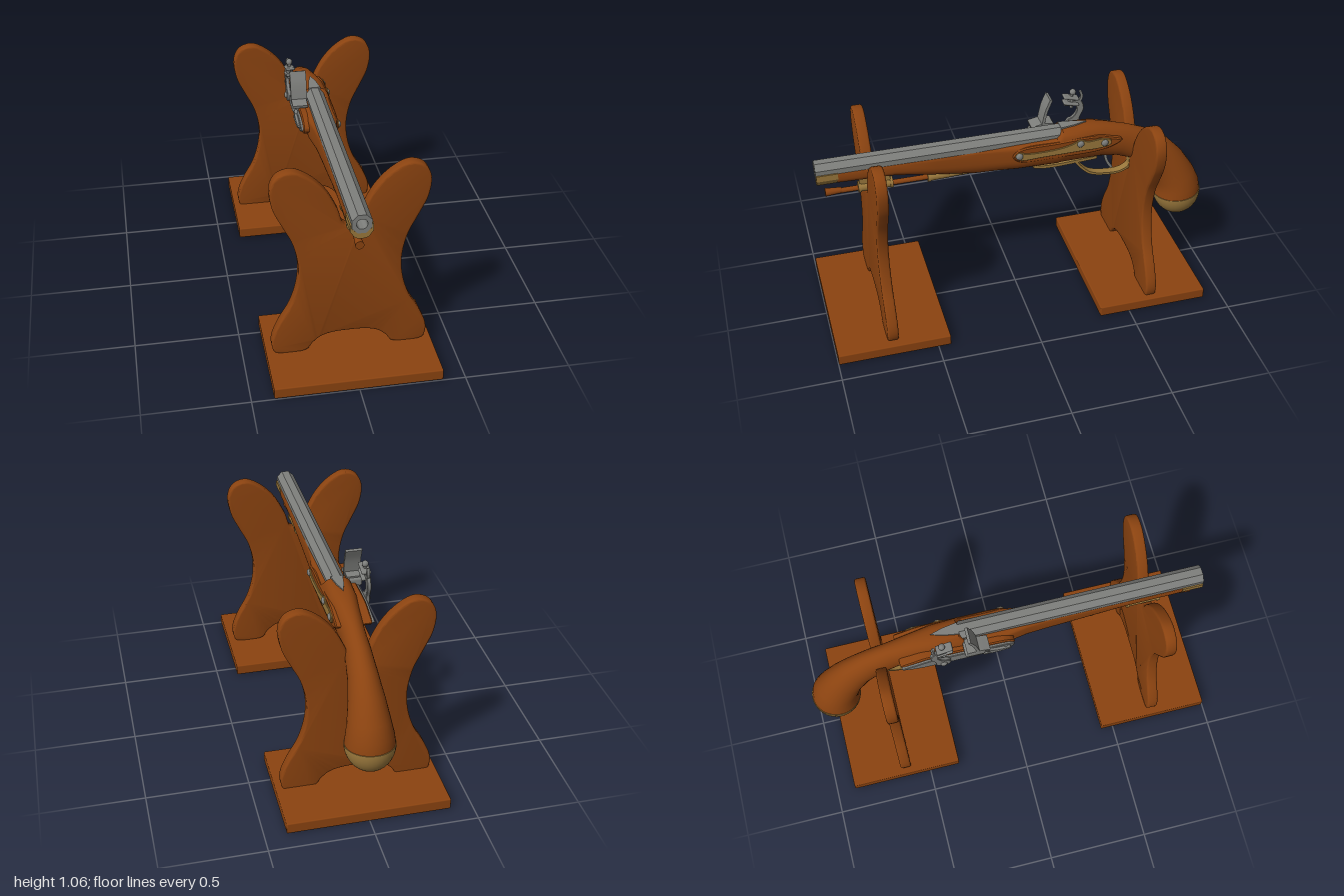
import * as THREE from 'three';
import { toCreasedNormals } from 'three/addons/utils/BufferGeometryUtils.js';
import { RoundedBoxGeometry } from 'three/addons/geometries/RoundedBoxGeometry.js';

function material(name, color) {
  const m = new THREE.MeshStandardMaterial({ color });
  m.name = name;
  return m;
}
const V = (x, y, z) => new THREE.Vector3(x, y, z);

export function createModel() {
  const model = new THREE.Group();
  model.name = 'pistolOnStand';
  const wood = material('wood', 0x8b4310);
  const brass = material('brass', 0x9a783c);
  const steel = material('steel', 0x7e7f7c);

  function add(name, geometry, mat, x = 0, y = 0, z = 0, parent = model) {
    const mesh = new THREE.Mesh(geometry, mat);
    mesh.name = name;
    mesh.position.set(x, y, z);
    parent.add(mesh);
    return mesh;
  }

  // Closed smooth outline through 2D points
  function smoothShape(points, divisions = 60) {
    const curve = new THREE.CatmullRomCurve3(points.map(([a, b]) => V(a, b, 0)), true, 'centripetal');
    return new THREE.Shape(curve.getPoints(divisions).slice(0, -1).map(p => new THREE.Vector2(p.x, p.y)));
  }

  // Side profile in (z, y), extruded between x0 and x1
  function sideSlab(shape, x0, x1, bevel = 0.003) {
    const g = new THREE.ExtrudeGeometry(shape, {
      depth: x1 - x0 - 2 * bevel, bevelEnabled: bevel > 0, bevelSize: bevel,
      bevelThickness: bevel, bevelOffset: -bevel, bevelSegments: 1, curveSegments: 12
    });
    g.rotateY(-Math.PI / 2);
    g.translate(x1 - bevel, 0, 0);
    return toCreasedNormals(g, 0.6);
  }

  const rod = (r0, r1, length, sides = 20) =>
    new THREE.CylinderGeometry(r0, r1, length, sides).rotateX(Math.PI / 2);

  function strap(name, points, width, thick, mat, x = 0) {
    // Flat bar following a (z, y) path
    const curve = new THREE.CatmullRomCurve3(points.map(([z, y]) => V(0, y, z)));
    const pts = curve.getPoints(36), outer = [], inner = [];
    pts.forEach((p, i) => {
      const t = curve.getTangent(i / 36);
      outer.push(new THREE.Vector2(p.z + t.y * thick / 2, p.y - t.z * thick / 2));
      inner.unshift(new THREE.Vector2(p.z - t.y * thick / 2, p.y + t.z * thick / 2));
    });
    return add(name, sideSlab(new THREE.Shape([...outer, ...inner]), x - width / 2, x + width / 2, 0), mat);
  }

  // Stand: two feet with notched uprights
  const half = [[0.034, 0.745], [0.06, 0.82], [0.115, 0.92], [0.19, 0.995], [0.265, 1.03], [0.33, 1.01],
    [0.362, 0.95], [0.352, 0.85], [0.31, 0.755], [0.265, 0.66], [0.24, 0.54], [0.247, 0.43], [0.28, 0.32],
    [0.335, 0.22], [0.366, 0.14], [0.367, 0.09], [0.35, 0.058], [0.205, 0.058], [0.175, 0.095],
    [0.135, 0.128], [0.08, 0.144]];
  const outline = [[0, 0.73], ...half, [0, 0.148], ...half.map(([x, y]) => [-x, y]).reverse()];
  const boardGeometry = toCreasedNormals(new THREE.ExtrudeGeometry(smoothShape(outline, 200), {
    depth: 0.035, bevelSize: 0.01, bevelThickness: 0.01, bevelOffset: -0.01, bevelSegments: 3
  }).translate(0, 0, -0.0175), 0.6);
  for (const [label, baseZ, boardZ, drop] of [['front', 0.717, 0.718, 0], ['rear', -0.625, -0.622, -0.014]]) {
    add(label + 'StandBase', new RoundedBoxGeometry(0.79, 0.056, 0.562, 2, 0.006), wood, 0, 0.028, baseZ);
    add(label + 'StandUpright', boardGeometry, wood, 0, drop, boardZ);
  }

  // Stock: sections as [topZ, topY, bottomZ, bottomY, halfWidth, topSquareness]
  const sections = [
    [0.88, 0.885, 0.88, 0.815, 0.049, 8], [0.6, 0.885, 0.6, 0.805, 0.049, 8],
    [0.4, 0.885, 0.4, 0.768, 0.049, 8], [0.2, 0.885, 0.2, 0.738, 0.05, 8],
    [0.1, 0.885, 0.1, 0.735, 0.056, 8], [0, 0.888, 0, 0.733, 0.073, 7],
    [-0.2, 0.892, -0.2, 0.73, 0.077, 6], [-0.23, 0.932, -0.23, 0.73, 0.077, 3],
    [-0.35, 0.932, -0.35, 0.73, 0.074, 2.6], [-0.45, 0.916, -0.43, 0.728, 0.064, 2.3],
    [-0.58, 0.88, -0.52, 0.715, 0.058, 2], [-0.7, 0.83, -0.6, 0.685, 0.062, 2],
    [-0.8, 0.76, -0.67, 0.635, 0.071, 2], [-0.88, 0.675, -0.72, 0.57, 0.085, 2],
    [-0.95, 0.57, -0.75, 0.5, 0.101, 2], [-0.983, 0.5, -0.756, 0.458, 0.112, 2],
    [-0.992, 0.445, -0.752, 0.425, 0.117, 2]];
  const around = 32, pos = [], idx = [];
  for (const [tz, ty, bz, by, w, n] of sections) {
    for (let j = 0; j < around; j++) {
      const a = j / around * Math.PI * 2, c = Math.cos(a), s = Math.sin(a);
      const e = 2 / (s > 0 ? n : 2);
      const u = 0.5 + 0.5 * Math.sign(s) * Math.abs(s) ** e;
      pos.push(w * Math.sign(c) * Math.abs(c) ** e, by + (ty - by) * u, bz + (tz - bz) * u);
    }
  }
  for (let i = 0; i < sections.length - 1; i++) {
    for (let j = 0; j < around; j++) {
      const a = i * around + j, b = i * around + (j + 1) % around;
      idx.push(a, a + around, b, b, a + around, b + around);
    }
  }
  const last = (sections.length - 1) * around;
  for (let j = 1; j < around - 1; j++) idx.push(0, j, j + 1, last, last + j + 1, last + j);
  const stock = new THREE.BufferGeometry();
  stock.setAttribute('position', new THREE.Float32BufferAttribute(pos, 3));
  stock.setIndex(idx);
  add('stock', toCreasedNormals(stock, 0.7), wood);

  // Brass butt cap
  const cap = add('buttCap', new THREE.SphereGeometry(1, 32, 14, 0, Math.PI * 2, Math.PI / 2, Math.PI / 2),
    brass, 0, 0.436, -0.873);
  cap.scale.set(0.12, 0.137, 0.123);
  cap.rotation.x = 0.085;
  const capRim = add('buttCapRim', new THREE.CircleGeometry(1, 32).rotateX(-Math.PI / 2), brass, 0, 0.436, -0.873);
  capRim.scale.copy(cap.scale);
  capRim.rotation.copy(cap.rotation);

  // Octagonal barrel with a bore
  const octagon = new THREE.Shape();
  for (let i = 0; i < 8; i++) {
    const a = (i + 0.5) * Math.PI / 4, r = 0.0487;
    octagon[i ? 'lineTo' : 'moveTo'](r * Math.cos(a), r * Math.sin(a));
  }
  octagon.holes.push(new THREE.Path().absarc(0, 0, 0.025, 0, Math.PI * 2, true));
  add('barrel', toCreasedNormals(new THREE.ExtrudeGeometry(octagon, { depth: 1.21, bevelEnabled: false }), 0.6),
    steel, 0, 0.89, -0.23);
  add('boreEnd', new THREE.CircleGeometry(0.026, 20), steel, 0, 0.89, 0.82);
  const tang = new THREE.Shape([[-0.03, 0.225], [0.03, 0.225], [0.018, 0.3], [0, 0.36], [-0.018, 0.3]]
    .map(([x, y]) => new THREE.Vector2(x, y)));
  add('barrelTang', new THREE.ExtrudeGeometry(tang, { depth: 0.012, bevelEnabled: false }).rotateX(-Math.PI / 2),
    steel, 0, 0.926, 0);

  // Fore-end band
  const band = new THREE.Shape([[-0.052, 0.886], [-0.052, 0.855], [-0.03, 0.822], [0, 0.815], [0.03, 0.822],
    [0.052, 0.855], [0.052, 0.886], [0.044, 0.886], [0.044, 0.868], [0.02, 0.846], [-0.02, 0.846],
    [-0.044, 0.868], [-0.044, 0.886]].map(([x, y]) => new THREE.Vector2(x, y)));
  add('foreEndBand', new THREE.ExtrudeGeometry(band, { depth: 0.102, bevelEnabled: false }), brass, 0, 0, 0.876);

  // Ramrod with its pipes
  add('ramrod', rod(0.013, 0.013, 0.72), wood, 0, 0.752, 0.57);
  add('ramrodTip', rod(0.02, 0.014, 0.08), wood, 0, 0.755, 0.9);
  add('ramrodPipe', rod(0.024, 0.024, 0.15), brass, 0, 0.757, 0.7);
  for (const z of [0.62, 0.775]) add('ramrodPipeRing', rod(0.028, 0.028, 0.014), brass, 0, 0.757, z);
  add('ramrodPipeTab', new THREE.BoxGeometry(0.024, 0.05, 0.15), brass, 0, 0.792, 0.7);
  add('rearPipe', rod(0.022, 0.014, 0.23), brass, 0, 0.752, 0.32);
  add('rearPipeRing', rod(0.025, 0.025, 0.014), brass, 0, 0.752, 0.435);

  // Trigger and guard
  strap('guardPlate', [[-0.09, 0.727], [-0.14, 0.716], [-0.22, 0.714], [-0.3, 0.718], [-0.42, 0.725]], 0.045, 0.016, brass);
  strap('triggerGuard', [[-0.31, 0.715], [-0.34, 0.675], [-0.39, 0.632], [-0.47, 0.613], [-0.55, 0.614],
    [-0.595, 0.642], [-0.6, 0.69]], 0.04, 0.012, brass);
  strap('guardTail', [[-0.575, 0.625], [-0.63, 0.628], [-0.69, 0.605], [-0.735, 0.545]], 0.03, 0.012, brass);
  strap('trigger', [[-0.465, 0.74], [-0.475, 0.69], [-0.49, 0.66], [-0.505, 0.637]], 0.014, 0.014, steel);

  // Wooden panel and brass side plate on the left
  const panel = smoothShape([[0.03, 0.84], [0, 0.873], [-0.2, 0.884], [-0.4, 0.886], [-0.47, 0.868],
    [-0.53, 0.845], [-0.45, 0.805], [-0.2, 0.795], [0, 0.805]]);
  add('leftPanel', sideSlab(panel, 0.03, 0.077, 0.006), wood);
  add('sidePlate', sideSlab(smoothShape([[0.02, 0.845], [0, 0.863], [-0.04, 0.852], [-0.2, 0.853],
    [-0.27, 0.868], [-0.31, 0.884], [-0.35, 0.87], [-0.42, 0.874], [-0.465, 0.862], [-0.468, 0.835],
    [-0.43, 0.822], [-0.3, 0.82], [-0.12, 0.818], [0, 0.82]]), 0.07, 0.083, 0.002), brass);
  for (const [z, y] of [[0, 0.843], [-0.31, 0.862], [-0.435, 0.848]]) {
    const screw = add('sideScrew', new THREE.SphereGeometry(0.018, 16, 10), steel, 0.083, y, z);
    screw.scale.x = 0.6;
  }

  // Flintlock on the right
  const lock = new THREE.Group();
  lock.name = 'lock';
  model.add(lock);
  add('lockPanel', sideSlab(panel, -0.098, -0.03, 0.006), wood, 0, 0, 0, lock);
  add('lockPlate', sideSlab(smoothShape([[0.025, 0.842], [0, 0.862], [-0.2, 0.873], [-0.38, 0.876],
    [-0.46, 0.86], [-0.525, 0.845], [-0.45, 0.818], [-0.2, 0.808], [0, 0.817]]), -0.11, -0.09, 0.003),
    steel, 0, 0, 0, lock);
  add('pan', new RoundedBoxGeometry(0.07, 0.045, 0.1, 2, 0.012), steel, -0.095, 0.885, -0.17, lock);
  lock.add(strap('frizzen', [[-0.155, 0.9], [-0.163, 0.945], [-0.175, 0.995], [-0.197, 1.05]],
    0.08, 0.014, steel, -0.09));
  lock.add(strap('frizzenFoot', [[-0.21, 0.908], [-0.16, 0.912], [-0.1, 0.9]], 0.075, 0.014, steel, -0.092));
  lock.add(strap('frizzenSpring', [[-0.11, 0.865], [-0.06, 0.85], [0, 0.846], [-0.06, 0.836], [-0.13, 0.838]],
    0.014, 0.01, steel, -0.116));
  add('cock', sideSlab(smoothShape([[-0.29, 0.85], [-0.325, 0.826], [-0.36, 0.85], [-0.365, 0.89],
    [-0.385, 0.94], [-0.372, 0.985], [-0.345, 1.0], [-0.29, 0.985], [-0.285, 0.968], [-0.335, 0.965],
    [-0.35, 0.94], [-0.33, 0.9], [-0.3, 0.885]]), -0.128, -0.108, 0.003), steel, 0, 0, 0, lock);
  for (const y of [0.982, 1.015]) {
    const jaw = add('jaw', new RoundedBoxGeometry(0.045, 0.014, 0.08, 2, 0.006), steel, -0.112, y, -0.315, lock);
    jaw.rotation.x = -0.25;
  }
  add('jawScrew', new THREE.CylinderGeometry(0.008, 0.008, 0.09, 12), steel, -0.112, 1.0, -0.32, lock);
  add('jawScrewHead', new THREE.SphereGeometry(0.016, 14, 10), steel, -0.112, 1.043, -0.325, lock);
  lock.add(strap('cockSpur', [[-0.36, 0.98], [-0.372, 1.01], [-0.365, 1.04]], 0.014, 0.012, steel, -0.115));
  for (const [z, y, x] of [[-0.325, 0.858, -0.13], [-0.11, 0.868, -0.112], [-0.02, 0.84, -0.11]]) {
    const screw = add('lockScrew', new THREE.SphereGeometry(0.016, 14, 10), steel, x, y, z, lock);
    screw.scale.x = 0.6;
  }
  return model;
}
